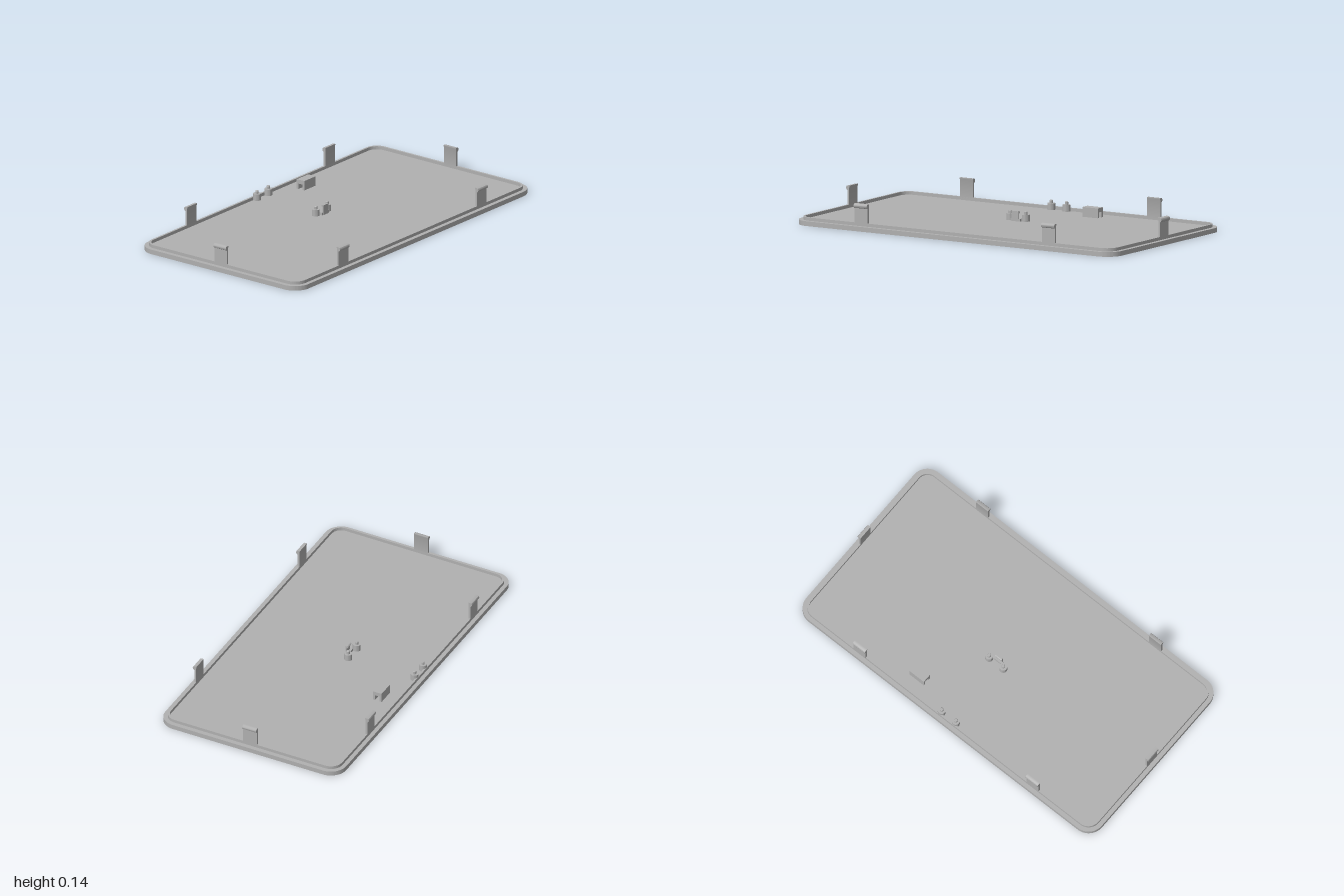
import * as THREE from 'three';
import { toCreasedNormals } from 'three/addons/utils/BufferGeometryUtils.js';

const FLOOR = 0.025;

// Rounded rectangle centred on the origin, given half sizes
function roundedRect(Type, hx, hz, r) {
  const s = new Type();
  s.moveTo(hx, -hz + r);
  s.absarc(hx - r, hz - r, r, 0, Math.PI / 2);
  s.absarc(-hx + r, hz - r, r, Math.PI / 2, Math.PI);
  s.absarc(-hx + r, -hz + r, r, Math.PI, Math.PI * 1.5);
  s.absarc(hx - r, -hz + r, r, Math.PI * 1.5, Math.PI * 2);
  s.closePath();
  return s;
}

// Horizontal slab from y0 to y1
function slab(shape, y0, y1) {
  const g = new THREE.ExtrudeGeometry(shape, { depth: y1 - y0, bevelEnabled: false, curveSegments: 16 });
  g.rotateX(-Math.PI / 2).translate(0, y0, 0);
  return toCreasedNormals(g, 0.5);
}

// Profile in the x-y plane, extruded along z and centred
function profile(points, width) {
  const shape = new THREE.Shape(points.map(([x, y]) => new THREE.Vector2(x, y)));
  const g = new THREE.ExtrudeGeometry(shape, { depth: width, bevelEnabled: false });
  return toCreasedNormals(g.translate(0, 0, -width / 2), 0.5);
}

export function createModel() {
  const model = new THREE.Group();
  model.name = 'enclosureLid';
  const plastic = new THREE.MeshStandardMaterial({ color: 0xb0b0b0 });
  plastic.name = 'grey plastic';

  const add = (name, geometry, x = 0, y = 0, z = 0, turn = 0) => {
    const mesh = new THREE.Mesh(geometry, plastic);
    mesh.name = name;
    mesh.position.set(x, y, z);
    mesh.rotation.y = turn;
    model.add(mesh);
    return mesh;
  };

  // Underside layer with four round recesses for feet
  const under = roundedRect(THREE.Shape, 1, 0.533, 0.09);
  for (const x of [-0.866, 0.866]) {
    for (const z of [-0.41, 0.41]) {
      const hole = new THREE.Path();
      hole.absarc(x, z, 0.055, 0, Math.PI * 2, true);
      under.holes.push(hole);
    }
  }
  add('undersideWithFootRecesses', slab(under, 0, 0.008));

  // Main plate
  add('plate', slab(roundedRect(THREE.Shape, 1, 0.533, 0.09), 0.008, FLOOR));

  // Raised lip set in from the edge
  const lip = roundedRect(THREE.Shape, 0.976, 0.51, 0.067);
  lip.holes.push(roundedRect(THREE.Path, 0.965, 0.499, 0.056));
  add('lip', slab(lip, FLOOR, 0.042));

  // Snap clips with outward hooks
  const clip = profile([
    [-0.011, FLOOR], [0, FLOOR], [0, 0.119], [0.006, 0.123], [0.009, 0.129],
    [0.009, 0.134], [0.006, 0.14], [0, 0.143], [-0.013, 0.143], [-0.013, 0.137], [-0.011, 0.133],
  ], 0.082);
  for (const s of [-1, 1]) {
    add('sideClip', clip, s * 0.976, 0, 0, s > 0 ? 0 : Math.PI);
    for (const x of [-0.585, 0.585]) {
      add(s > 0 ? 'frontClip' : 'backClip', clip, x, 0, s * 0.51, -s * Math.PI / 2);
    }
  }

  // Stepped locating posts
  const post = toCreasedNormals(new THREE.LatheGeometry([
    [0.021, FLOOR], [0.021, 0.06], [0.009, 0.06], [0.009, 0.074], [0.007, 0.077], [0, 0.077],
  ].map(([r, y]) => new THREE.Vector2(r, y)), 24), 0.5);
  for (const x of [-0.048, 0.048]) {
    for (const z of [-0.488, -0.097]) add('locatingPost', post, x, 0, z);
  }

  // Small hook between the inner posts, catching towards the back
  const hook = profile([
    [-0.007, FLOOR], [0, FLOOR], [0, 0.079], [-0.01, 0.079],
    [-0.015, 0.074], [-0.013, 0.069], [-0.007, 0.066],
  ], 0.042);
  add('boardHook', hook, 0, 0, -0.066, -Math.PI / 2);
  add('hookBase', new THREE.BoxGeometry(0.06, 0.014, 0.016), 0, FLOOR + 0.007, -0.077);

  // Bridge block with a tunnel running along x
  const bridge = profile([
    [-0.025, FLOOR], [-0.013, FLOOR], [-0.013, 0.055], [0.014, 0.055],
    [0.014, FLOOR], [0.025, FLOOR], [0.025, 0.077], [-0.025, 0.077],
  ], 0.096);
  add('bridgeBlock', bridge, 0.264, 0, -0.406, -Math.PI / 2);

  return model;
}
